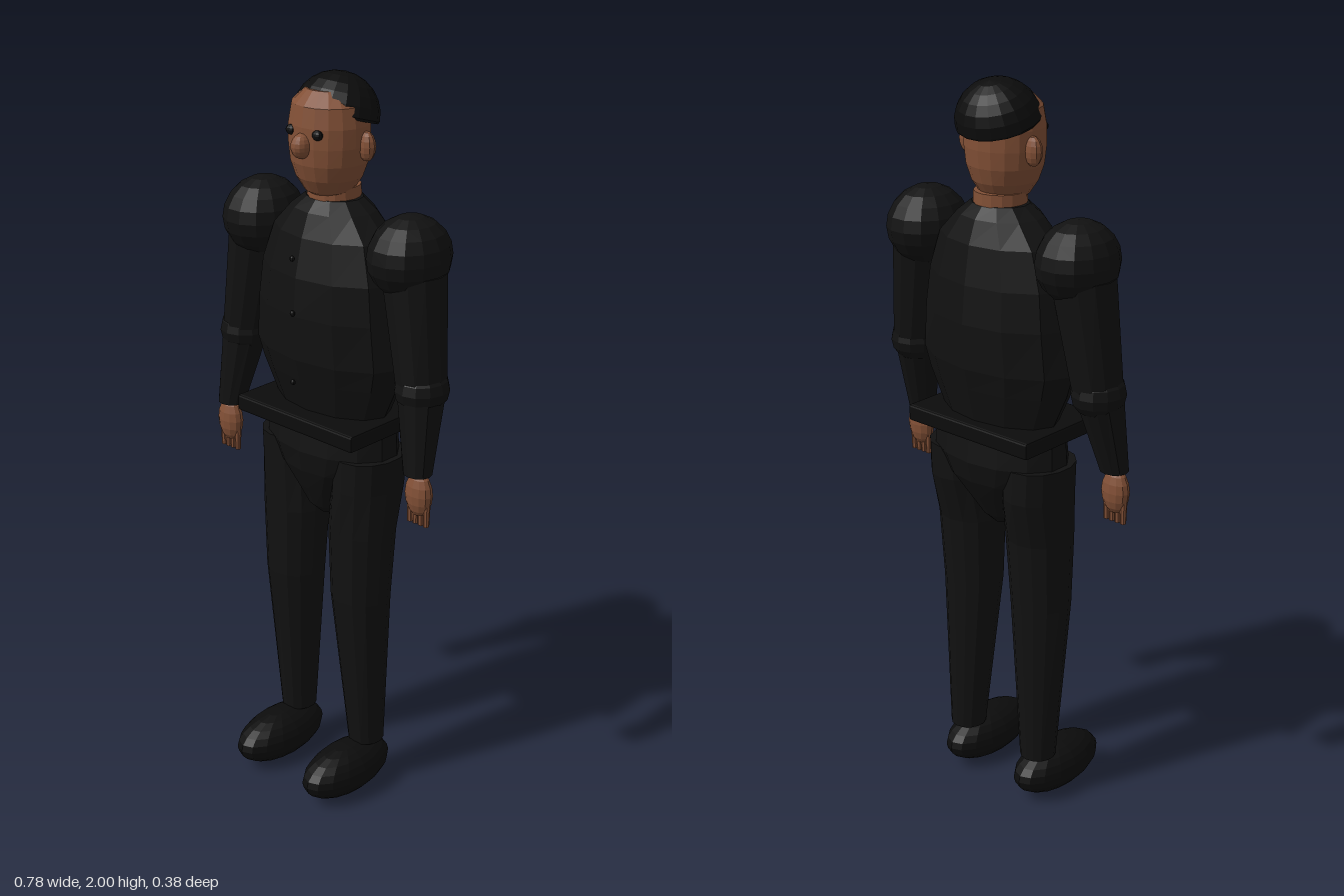
import * as THREE from 'three';
import { RoundedBoxGeometry } from 'three/addons/geometries/RoundedBoxGeometry.js';

const flat = (name, color) => {
  const m = new THREE.MeshStandardMaterial({ color, flatShading: true });
  m.name = name;
  return m;
};

export function createModel() {
  const model = new THREE.Group();
  model.name = 'standingMan';
  const suit = flat('black cloth', 0x111111);
  const dark = flat('deep black', 0x0c0c0c);
  const skin = flat('brown skin', 0x825036);

  const add = (name, geometry, material, x = 0, y = 0, z = 0, parent = model) => {
    const mesh = new THREE.Mesh(geometry, material);
    mesh.name = name;
    mesh.position.set(x, y, z);
    parent.add(mesh);
    return mesh;
  };

  const ellipsoid = (rx, ry, rz, w = 14, h = 10) =>
    new THREE.SphereGeometry(1, w, h).scale(rx, ry, rz);

  // Closed tube through elliptical sections [y, centreX, centreZ, radiusX, radiusZ], top to bottom
  const loft = (sections, sides = 12) => {
    const k = sections.length - 1;
    const g = new THREE.CylinderGeometry(1, 1, 1, sides, k);
    const p = g.attributes.position;
    for (let i = 0; i < p.count; i++) {
      const [y, cx, cz, rx, rz] = sections[Math.round((0.5 - p.getY(i)) * k)];
      p.setXYZ(i, cx + p.getX(i) * rx, y, cz + p.getZ(i) * rz);
    }
    g.computeVertexNormals();
    return g;
  };

  // Head and neck
  add('head', loft([
    [1.965, 0, -0.03, 0.06, 0.06], [1.93, 0, -0.03, 0.098, 0.092],
    [1.88, 0, -0.03, 0.107, 0.1], [1.83, 0, -0.03, 0.106, 0.101],
    [1.785, 0, -0.03, 0.1, 0.097], [1.745, 0, -0.03, 0.085, 0.085],
    [1.71, 0, -0.03, 0.062, 0.064], [1.69, 0, -0.03, 0.03, 0.03],
  ], 18), skin);
  add('neck', loft([[1.72, 0, -0.048, 0.068, 0.068], [1.65, 0, -0.048, 0.07, 0.07]], 16), skin);
  add('nose', ellipsoid(0.025, 0.032, 0.032), skin, 0, 1.835, 0.068);

  // Hair: upper half of an ellipsoid with a flat underside, tilted back
  const hairShape = ellipsoid(0.113, 0.105, 0.105, 18, 12);
  const hp = hairShape.attributes.position;
  for (let i = 0; i < hp.count; i++) hp.setY(i, Math.max(hp.getY(i), -0.006));
  hairShape.computeVertexNormals();
  add('hair', hairShape, dark, 0, 1.895, -0.054).rotation.x = -0.3;

  // Jacket, belt and trouser seat
  add('torso', loft([
    [1.69, 0, -0.048, 0.08, 0.068], [1.66, 0, -0.047, 0.12, 0.095],
    [1.6, 0, -0.047, 0.18, 0.118], [1.5, 0, -0.044, 0.215, 0.138],
    [1.4, 0, -0.045, 0.228, 0.147], [1.28, 0, -0.045, 0.24, 0.142],
    [1.22, 0, -0.046, 0.222, 0.128], [1.11, 0, -0.048, 0.172, 0.098],
  ], 12), suit);
  add('belt', new RoundedBoxGeometry(0.414, 0.045, 0.29, 1, 0.006), dark, 0, 1.107, -0.038);
  add('hips', loft([
    [1.1, 0, -0.047, 0.203, 0.122], [1.02, 0, -0.047, 0.207, 0.132],
    [0.96, 0, -0.045, 0.165, 0.12], [0.9, 0, -0.04, 0.1, 0.092],
    [0.84, 0, -0.035, 0.055, 0.06], [0.812, 0, -0.035, 0.025, 0.03],
  ], 14), suit);
  for (const y of [1.555, 1.41, 1.222])
    add('button', ellipsoid(0.008, 0.008, 0.006, 8, 6), dark, 0, y, 0.105);

  // Paired parts: s = 1 is the left side
  for (const s of [1, -1]) {
    const side = s > 0 ? 'left' : 'right';
    add(side + 'Eye', ellipsoid(0.015, 0.013, 0.012, 10, 8), dark, s * 0.045, 1.867, 0.06);
    add(side + 'Ear', ellipsoid(0.026, 0.038, 0.02, 10, 8), skin, s * 0.108, 1.832, -0.048);

    const arm = new THREE.Group();
    arm.name = side + 'Arm';
    model.add(arm);
    add('shoulder', ellipsoid(0.101, 0.106, 0.117, 14, 10), suit, s * 0.255, 1.584, -0.048, arm);
    add('upperArm', loft([
      [1.55, s * 0.27, -0.048, 0.085, 0.085], [1.27, s * 0.312, -0.036, 0.065, 0.07],
    ]), suit, 0, 0, 0, arm);
    add('elbow', ellipsoid(0.07, 0.065, 0.075, 12, 8), suit, s * 0.316, 1.255, -0.035, arm);
    add('forearm', loft([
      [1.25, s * 0.316, -0.033, 0.062, 0.066], [1.04, s * 0.341, 0.003, 0.039, 0.036],
    ]), suit, 0, 0, 0, arm);
    add('palm', ellipsoid(0.041, 0.062, 0.028, 12, 8), skin, s * 0.347, 0.985, 0.003, arm);
    for (let f = 0; f < 4; f++)
      add('finger', new THREE.CylinderGeometry(0.01, 0.008, 0.06, 8), skin,
        s * 0.347 + (f - 1.5) * 0.018, 0.93, 0.003, arm);

    const leg = new THREE.Group();
    leg.name = side + 'Leg';
    model.add(leg);
    add('trouserLeg', loft([
      [1.02, s * 0.132, -0.045, 0.089, 0.105], [0.93, s * 0.128, -0.045, 0.09, 0.105],
      [0.8, s * 0.122, -0.031, 0.092, 0.09], [0.6, s * 0.123, -0.026, 0.083, 0.08],
      [0.135, s * 0.132, -0.045, 0.049, 0.05],
    ], 14), suit, 0, 0, 0, leg);
    add('shoe', ellipsoid(0.077, 0.071, 0.157, 16, 12), dark, s * 0.13, 0.071, 0.035, leg);
  }
  return model;
}
